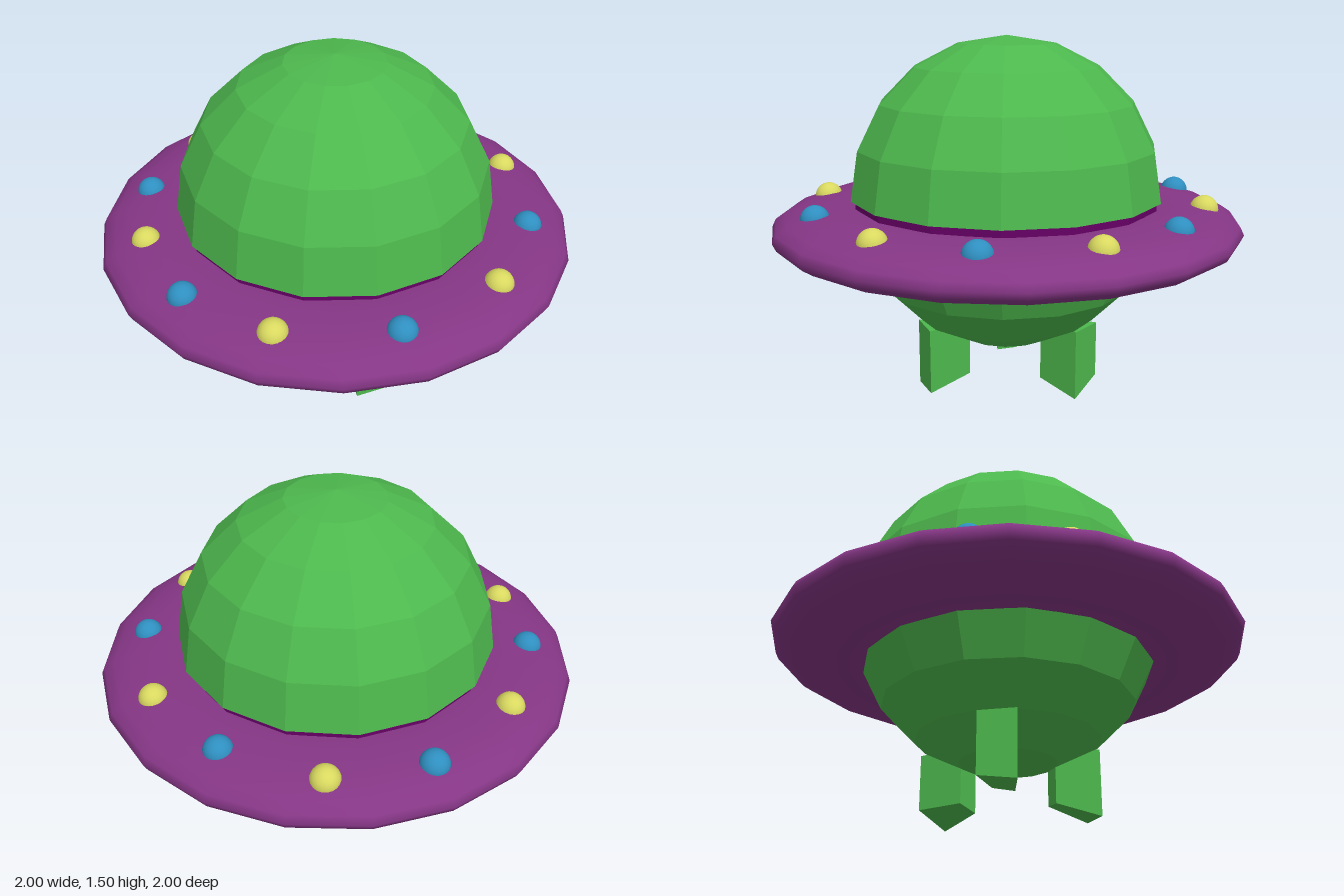
import * as THREE from 'three';

const paint = (color, flatShading = false) => new THREE.MeshStandardMaterial({ color, flatShading });

export function createModel() {
  const model = new THREE.Group();
  const green = paint(0x4db84d, true);
  const purple = paint(0x853685);
  const darkPurple = paint(0x660066, true);
  const blue = paint(0x2f8fc0);
  const yellow = paint(0xd8d860);

  const add = (name, geometry, material, parent = model) => {
    const mesh = new THREE.Mesh(geometry, material);
    mesh.name = name;
    parent.add(mesh);
    return mesh;
  };

  // Faceted hull: rings 18 degrees apart on a sphere, 15 sides
  const hullY = 0.84;
  const ring = (i, r) => {
    const a = (i * Math.PI) / 10;
    return new THREE.Vector2(Math.abs(Math.sin(a)) * r, hullY + Math.cos(a) * r);
  };
  const lathe = (points) => new THREE.LatheGeometry(points, 15, Math.PI / 2);

  const domePoints = [new THREE.Vector2(0.5, hullY)];
  for (let i = 5; i >= 0; i--) domePoints.push(ring(i, 0.668));
  add('dome', lathe(domePoints), green);

  const bowlPoints = [];
  for (let i = 10; i >= 6; i--) bowlPoints.push(ring(i, 0.66));
  add('lowerHull', lathe(bowlPoints), green);

  // Dark collar between dome and saucer rim
  const collar = add('collar', new THREE.CylinderGeometry(0.65, 0.65, 0.14, 15, 1, false, Math.PI / 2), darkPurple);
  collar.position.y = 0.77;

  // Flattened ring
  const rim = new THREE.TorusGeometry(0.7, 0.3, 20, 20);
  rim.rotateX(Math.PI / 2);
  rim.scale(1, 1 / 3, 1);
  add('saucerRim', rim, purple).position.y = 0.71;

  // Lights around the rim, alternating blue and yellow
  const lights = new THREE.Group();
  lights.name = 'rimLights';
  model.add(lights);
  const bulb = new THREE.SphereGeometry(0.06, 20, 14);
  [
    [0, -0.84], [0.395, -0.74], [0.69, -0.43], [0.82, -0.035], [0.71, 0.4], [0.42, 0.7],
    [-0.035, 0.82], [-0.48, 0.67], [-0.745, 0.36], [-0.81, -0.03], [-0.72, -0.385], [-0.43, -0.69],
  ].forEach(([x, z], i) => {
    add('rimLight', bulb, i % 2 ? yellow : blue, lights).position.set(x, 0.786, z);
  });

  // Wedge legs; feet heights: outer right, outer left, inner right, inner left
  const makeLeg = (feet) => {
    const g = new THREE.BoxGeometry(1, 1, 1);
    const p = g.attributes.position;
    for (let i = 0; i < p.count; i++) {
      const left = p.getX(i) > 0;
      const top = p.getY(i) > 0;
      const outer = p.getZ(i) > 0;
      const x = outer ? (left ? 0.118 : -0.038) : (left ? 0.07 : -0.02);
      const y = top ? 0.302 : feet[(outer ? 0 : 2) + (left ? 1 : 0)];
      p.setXYZ(i, x, y, outer ? 0.394 : 0.2);
    }
    g.computeVertexNormals();
    return g;
  };
  [
    [0.018, 0.025, 0.06, 0.068],
    [0.003, 0.065, 0.045, 0.07],
    [0.05, 0.03, 0.055, 0.038],
  ].forEach((feet, i) => {
    add('leg', makeLeg(feet), green).rotation.y = (i * Math.PI * 2) / 3;
  });

  return model;
}
